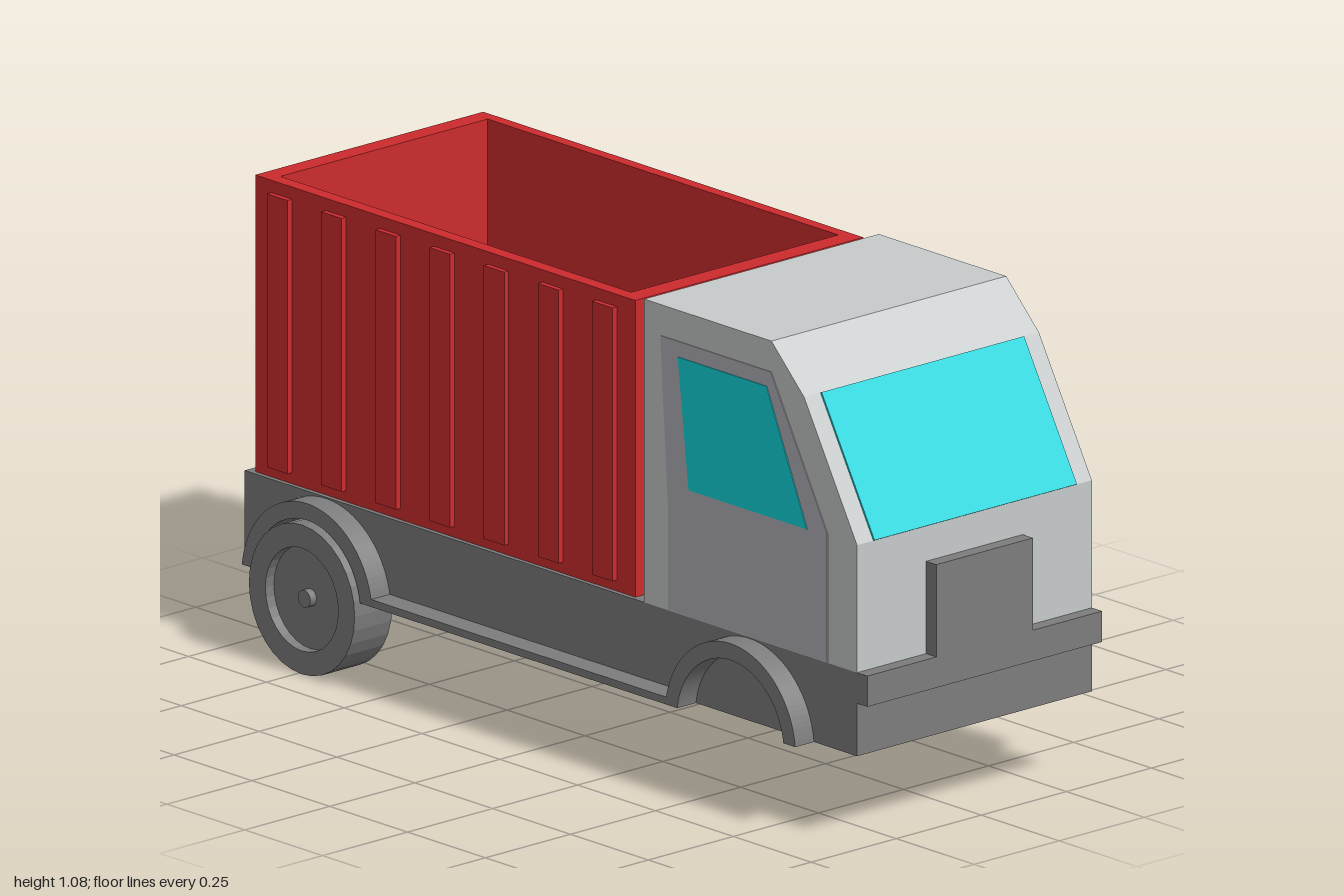
import * as THREE from 'three';

const mat = (name, color, side = THREE.FrontSide) => {
  const m = new THREE.MeshStandardMaterial({ color, side });
  m.name = name;
  return m;
};

export function createModel() {
  const truck = new THREE.Group();
  truck.name = 'truck';
  const grey = mat('chassis grey', 0x7c7c7c);
  const red = mat('cargo red', 0xcc2b2d);
  const silver = mat('cab silver', 0xc6caca);
  const doorGrey = mat('door grey', 0xb2b1b8);
  const cyan = mat('glass cyan', 0x10d6dc);

  const Z0 = -0.355, Z1 = 0.335, MID = -0.01; // body sides and centre line

  const add = (name, geo, material) => {
    const mesh = new THREE.Mesh(geo, material);
    mesh.name = name;
    truck.add(mesh);
    return mesh;
  };
  // box from its minimum and maximum on each axis
  const box = (name, m, x0, x1, y0, y1, z0, z1) =>
    add(name, new THREE.BoxGeometry(x1 - x0, y1 - y0, z1 - z0), m)
      .position.set((x0 + x1) / 2, (y0 + y1) / 2, (z0 + z1) / 2);
  // side profile extruded from z0 to z1
  const extrude = (name, m, shape, z0, z1) => {
    const geo = new THREE.ExtrudeGeometry(shape, { depth: z1 - z0, bevelEnabled: false, curveSegments: 24 });
    add(name, geo, m).position.z = z0;
  };
  const poly = (pts) => new THREE.Shape(pts.map(([x, y]) => new THREE.Vector2(x, y)));

  // Chassis and front bumper with its raised grille
  box('chassis', grey, -1, 0.967, 0.2, 0.39, Z0, Z1);
  box('bumper', grey, 0.967, 1, 0.32, 0.39, Z0, Z1);
  box('grille', grey, 0.967, 1, 0.39, 0.6, -0.152, 0.132);

  // Wheel arches and side skirts
  const arch = (cx) => {
    const cy = 0.177, R = 0.21, r = 0.172;
    const a = Math.asin(0.023 / R), b = Math.asin(0.023 / r);
    const s = new THREE.Shape();
    s.absarc(cx, cy, R, a, Math.PI - a, false);
    s.absarc(cx, cy, r, Math.PI - b, b, true);
    s.closePath();
    return s;
  };
  for (const [side, z0, z1] of [['right', Z1, 0.39], ['left', -0.405, Z0]]) {
    extrude(side + 'RearArch', grey, arch(-0.74), z0, z1);
    extrude(side + 'FrontArch', grey, arch(0.62), z0, z1);
    extrude(side + 'Skirt', grey, poly([[-0.535, 0.2], [0.415, 0.2], [0.422, 0.217], [-0.542, 0.217]]), z0, z1);
  }

  // Single rear wheel with a recessed rim and a small hub
  const wheelProfile = [[0, 0], [0.17, 0], [0.17, 0.11], [0.117, 0.11], [0.117, 0.085], [0, 0.085]];
  const wheelGeo = new THREE.LatheGeometry(wheelProfile.map(([r, y]) => new THREE.Vector2(r, y)), 32)
    .toNonIndexed();
  wheelGeo.computeVertexNormals();
  wheelGeo.rotateX(Math.PI / 2);
  add('wheel', wheelGeo, grey).position.set(-0.74, 0.172, 0.295);
  const hub = new THREE.CylinderGeometry(0.02, 0.02, 0.02, 16).rotateX(Math.PI / 2);
  add('wheelHub', hub, grey).position.set(-0.74, 0.172, 0.388);

  // Cab
  extrude('cab', silver, poly([[0.283, 0.39], [0.967, 0.39], [0.967, 0.68], [0.797, 0.977], [0.692, 1.08], [0.283, 1.08]]), Z0, Z1);
  extrude('windshield', cyan, poly([[0.967, 0.68], [0.971, 0.682], [0.801, 0.979], [0.797, 0.977]]), -0.308, 0.287);

  // Doors and side windows as thin plates
  const door = poly([[0.362, 0.392], [0.873, 0.392], [0.873, 0.685], [0.692, 1.01], [0.337, 1.01], [0.362, 0.62]]);
  const glass = poly([[0.43, 0.68], [0.81, 0.68], [0.68, 0.975], [0.395, 0.975]]);
  extrude('rightDoor', doorGrey, door, Z1, Z1 + 0.002);
  extrude('leftDoor', doorGrey, door, Z0 - 0.002, Z0);
  extrude('rightWindow', cyan, glass, Z1 + 0.002, Z1 + 0.004);
  extrude('leftWindow', cyan, glass, Z0 - 0.004, Z0 - 0.002);

  // Open cargo box: floor and four walls
  const X0 = -0.978, X1 = 0.243, TOP = 1.065, C0 = -0.346, C1 = 0.324;
  box('cargoFloor', red, X0, X1, 0.39, 0.42, C0, C1);
  box('cargoRightWall', red, X0, X1, 0.42, TOP, C1 - 0.033, C1);
  box('cargoLeftWall', red, X0, X1, 0.42, TOP, C0, C0 + 0.028);
  box('cargoRearWall', red, X0, X0 + 0.045, 0.42, TOP, C0 + 0.028, C1 - 0.033);
  box('cargoFrontWall', red, X1 - 0.05, X1, 0.42, TOP, C0 + 0.028, C1 - 0.033);

  // Ribs along the sides and across the tail
  for (let i = 0; i < 7; i++) {
    const x = -0.893 + i * 0.174;
    box('rightRib', red, x - 0.033, x + 0.033, 0.415, 1.037, C1, C1 + 0.013);
    box('leftRib', red, x - 0.033, x + 0.033, 0.415, 1.037, C0 - 0.012, C0);
  }
  for (let i = -2; i <= 2; i++) {
    const z = MID + i * 0.138;
    box('rearRib', red, X0 - 0.011, X0, 0.415, 1.037, z - 0.033, z + 0.033);
  }

  return truck;
}
